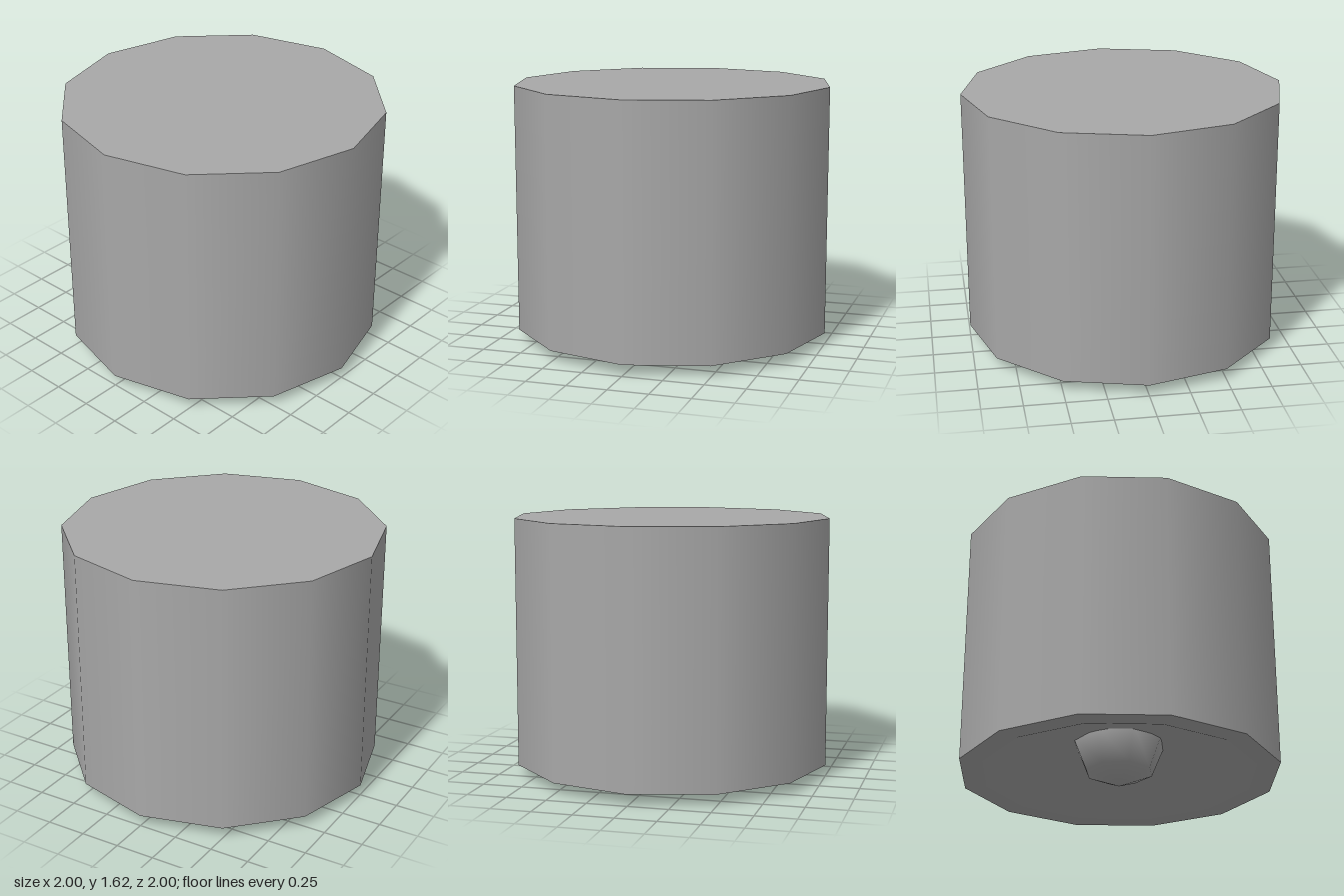
import * as THREE from 'three';

const SIDES = 12;
const BOTTOM = 0.07;
const TOP = 1.62;
const RIM = 0.86; // inner radius of the bottom rim

export function createModel() {
  const group = new THREE.Group();
  const grey = new THREE.MeshStandardMaterial({ color: 0xa8a8a8, side: THREE.DoubleSide });
  grey.name = 'mid grey';

  const add = (name, geometry, y = 0, tilt = 0) => {
    const mesh = new THREE.Mesh(geometry, grey);
    mesh.name = name;
    mesh.position.y = y;
    mesh.rotation.x = tilt;
    group.add(mesh);
  };

  // Twelve-sided housing, smooth around its wall with sharp flat ends
  add('housingWall', new THREE.CylinderGeometry(1, 1, TOP - BOTTOM, SIDES, 1, true), (TOP + BOTTOM) / 2);
  add('housingTop', new THREE.CircleGeometry(1, SIDES), TOP, -Math.PI / 2);
  add('bottomRim', new THREE.RingGeometry(RIM, 1, SIDES), BOTTOM, Math.PI / 2);

  // Shallow hollow cone inside the rim
  const dish = [[0, 0.37], [RIM, BOTTOM]];
  add('reflectorDish', new THREE.LatheGeometry(dish.map(([r, y]) => new THREE.Vector2(r, y)), SIDES));

  // Low-poly bulb half sunk in the dish, its tip just below the rim
  add('bulb', new THREE.SphereGeometry(0.3, 8, 4), 0.3);

  return group;
}
